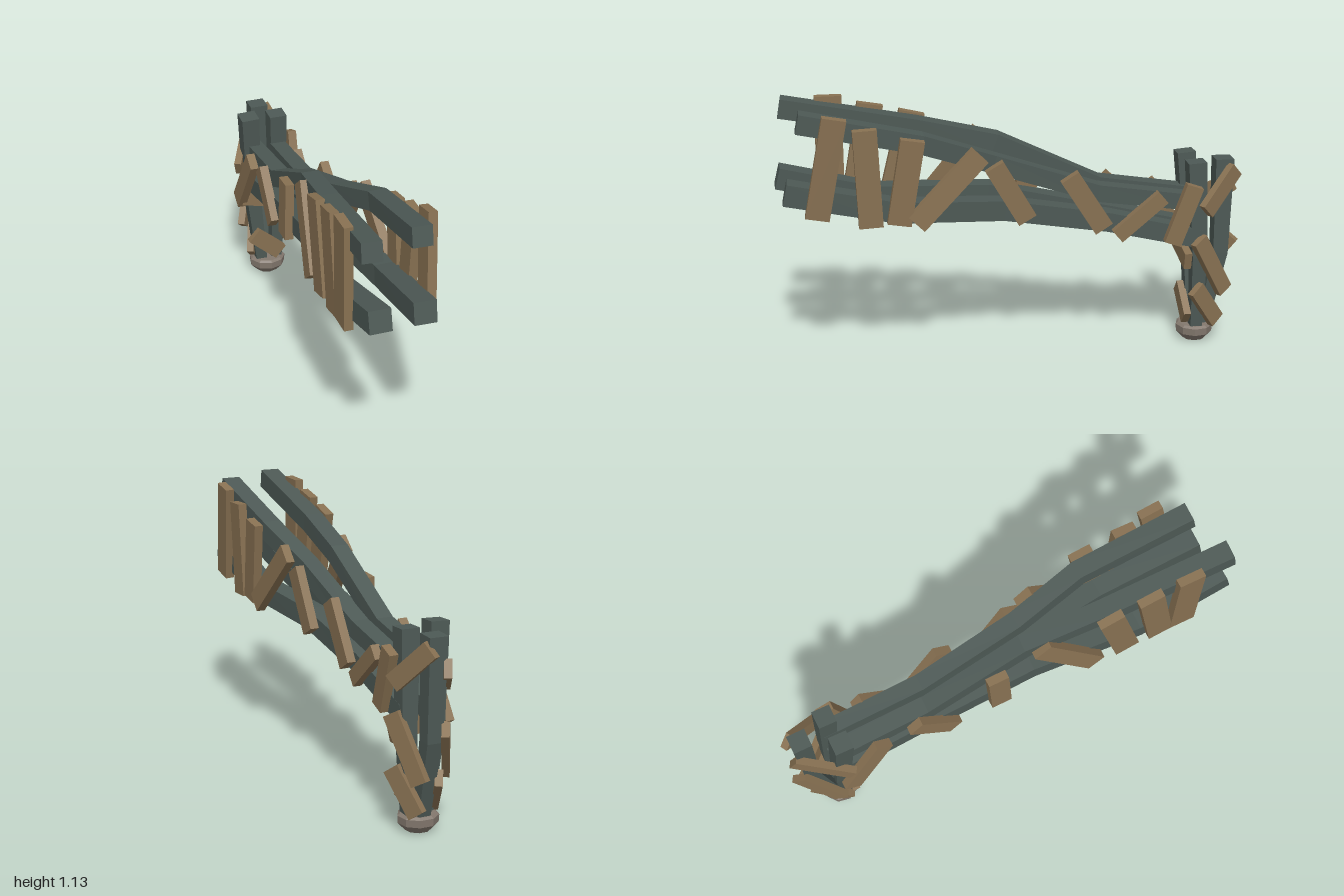
import * as THREE from 'three';

const V = (p) => new THREE.Vector3(...p);
const UP = new THREE.Vector3(0, 1, 0), FRONT = new THREE.Vector3(0, 0, 1);

// Square beam lofted along a bent path, tapering between two widths, closed at both ends
function beamGeometry(path, startWidth, endWidth, reference) {
  const pts = path.map(V);
  const rings = pts.map((p, i) => {
    const half = THREE.MathUtils.lerp(startWidth, endWidth, i / (pts.length - 1)) / 2;
    const t = pts[Math.min(i + 1, pts.length - 1)].clone().sub(pts[Math.max(i - 1, 0)]).normalize();
    const side = reference.clone().cross(t).normalize();
    const top = t.clone().cross(side);
    return [[-1, -1], [1, -1], [1, 1], [-1, 1]].map(([a, b]) =>
      p.clone().addScaledVector(side, a * half).addScaledVector(top, b * half));
  });
  const out = [];
  const quad = (a, b, c, d) => [a, b, c, a, c, d].forEach((v) => out.push(v.x, v.y, v.z));
  for (let i = 0; i < rings.length - 1; i++) {
    const r = rings[i], s = rings[i + 1];
    for (let k = 0; k < 4; k++) quad(r[k], r[(k + 1) % 4], s[(k + 1) % 4], s[k]);
  }
  const f = rings[0], l = rings[rings.length - 1];
  quad(f[3], f[2], f[1], f[0]);
  quad(l[0], l[1], l[2], l[3]);
  const g = new THREE.BufferGeometry();
  g.setAttribute('position', new THREE.Float32BufferAttribute(out, 3));
  g.computeVertexNormals();
  return g;
}

export function createModel() {
  const model = new THREE.Group();
  model.name = 'timberFrame';
  const mat = (name, color) => {
    const m = new THREE.MeshStandardMaterial({ color, flatShading: true });
    m.name = name;
    return m;
  };
  const darkWood = mat('darkBeam', 0x4d5955);
  const plankWood = mat('plankWood', 0x887152);
  const stone = mat('stone', 0x83786e);

  const add = (name, geometry, material) => {
    const m = new THREE.Mesh(geometry, material);
    m.name = name;
    model.add(m);
    return m;
  };
  const beam = (name, path, w0, w1, ref) => add(name, beamGeometry(path, w0, w1, ref), darkWood);

  // Flat board from a to b whose broad face looks along the outward direction
  const plank = (name, a, b, outward, width, thickness = 0.038) => {
    const p = V(a), q = V(b), y = q.clone().sub(p);
    const m = add(name, new THREE.BoxGeometry(width, y.length(), thickness), plankWood);
    y.normalize();
    const z = V(outward);
    z.addScaledVector(y, -z.dot(y)).normalize();
    const x = y.clone().cross(z);
    m.quaternion.setFromRotationMatrix(new THREE.Matrix4().makeBasis(x, y, z));
    m.position.copy(p.add(q).multiplyScalar(0.5));
  };

  // Long rails, front to back
  beam('upperRightRail', [[-0.135, 1.09, 0.965], [-0.102, 0.99, 0.4], [-0.07, 0.922, 0.07],
    [-0.065, 0.715, -0.37], [-0.06, 0.65, -0.8]], 0.082, 0.07, UP);
  beam('upperLeftRail', [[0.088, 1.08, 0.9], [0.1, 0.975, 0.4], [0.055, 0.865, 0.1],
    [0.035, 0.71, -0.35], [0.045, 0.645, -0.8]], 0.082, 0.07, UP);
  beam('lowerRightRail', [[-0.105, 0.8, 0.985], [-0.112, 0.7, 0.58], [-0.08, 0.695, 0.1],
    [-0.065, 0.585, -0.4], [-0.06, 0.49, -0.8]], 0.092, 0.08, UP);
  beam('lowerLeftRail', [[0.085, 0.785, 0.96], [0.097, 0.69, 0.5], [0.05, 0.66, 0.05],
    [0.035, 0.58, -0.4], [0.045, 0.485, -0.8]], 0.092, 0.08, UP);

  // Three posts drawn together at the foot
  beam('rightPost', [[-0.09, 0.835, -0.762], [-0.07, 0.4, -0.795], [-0.034, 0.05, -0.795]], 0.08, 0.05, FRONT);
  beam('leftPost', [[0.045, 0.825, -0.777], [0.052, 0.4, -0.8], [0.036, 0.05, -0.8]], 0.078, 0.05, FRONT);
  beam('backPost', [[-0.005, 0.822, -0.91], [0, 0.4, -0.905], [0, 0.05, -0.835]], 0.08, 0.05, FRONT);

  // Side planks: top [x, y, z], bottom [x, y, z], width
  const leftPlanks = [
    [[0.168, 1.11, 0.754], [0.143, 0.684, 0.834], 0.1],
    [[0.157, 1.055, 0.634], [0.147, 0.64, 0.615], 0.1],
    [[0.16, 1.005, 0.44], [0.148, 0.645, 0.5], 0.1],
    [[0.125, 0.92, 0.16], [0.153, 0.645, 0.43], 0.09],
    [[0.113, 0.865, 0.1], [0.108, 0.625, -0.04], 0.085],
    [[0.1, 0.8, -0.22], [0.095, 0.565, -0.37], 0.085],
    [[0.092, 0.69, -0.625], [0.092, 0.525, -0.43], 0.065],
    [[0.105, 0.735, -0.76], [0.098, 0.48, -0.67], 0.075],
  ];
  leftPlanks.forEach(([a, b, w], i) => plank('leftPlank' + (i + 1), a, b, [1, 0, 0], w));
  const rightPlanks = [
    [[-0.172, 1.12, 0.76], [-0.168, 0.67, 0.76], 0.115],
    [[-0.167, 1.08, 0.585], [-0.167, 0.66, 0.66], 0.11],
    [[-0.163, 1.04, 0.41], [-0.165, 0.65, 0.505], 0.11],
    [[-0.125, 0.95, 0.12], [-0.163, 0.645, 0.36], 0.09],
    [[-0.127, 0.855, -0.08], [-0.135, 0.6, -0.07], 0.09],
    [[-0.122, 0.725, -0.455], [-0.125, 0.545, -0.28], 0.08],
    [[-0.122, 0.69, -0.6], [-0.137, 0.41, -0.775], 0.08],
  ];
  rightPlanks.forEach(([a, b, w], i) => plank('rightPlank' + (i + 1), a, b, [-1, 0, 0], w));

  // Planks wrapping the posts
  const postPlanks = [
    [[0.03, 0.78, -0.955], [0.115, 0.62, -0.81], [0.85, 0, -0.5]],
    [[0.105, 0.49, -0.785], [0.05, 0.235, -0.92], [0.85, 0, -0.5]],
    [[0.1, 0.265, -0.78], [0.045, 0.095, -0.89], [0.85, 0, -0.5]],
    [[-0.035, 0.7, -0.965], [-0.145, 0.58, -0.755], [-0.85, 0, -0.45]],
    [[-0.03, 0.46, -0.965], [-0.112, 0.24, -0.825], [-0.85, 0, -0.5]],
    [[-0.035, 0.245, -0.91], [-0.082, 0.1, -0.79], [-0.85, 0, -0.5]],
    [[-0.13, 0.44, -0.74], [0.093, 0.39, -0.745], [0, 0, 1]],
    [[-0.08, 0.22, -0.753], [0.048, 0.11, -0.757], [0, 0, 1]],
  ];
  postPlanks.forEach(([a, b, n], i) => plank('postPlank' + (i + 1), a, b, n, 0.075, 0.032));

  // Faceted stone foot
  const profile = [[0, 0], [0.053, 0.003], [0.083, 0.035], [0.085, 0.066], [0.074, 0.075], [0, 0.075]];
  const foot = add('stoneFoot', new THREE.LatheGeometry(profile.map(([x, y]) => new THREE.Vector2(x, y)), 9), stone);
  foot.position.set(-0.002, 0, -0.805);
  foot.scale.z = 0.95;

  return model;
}
